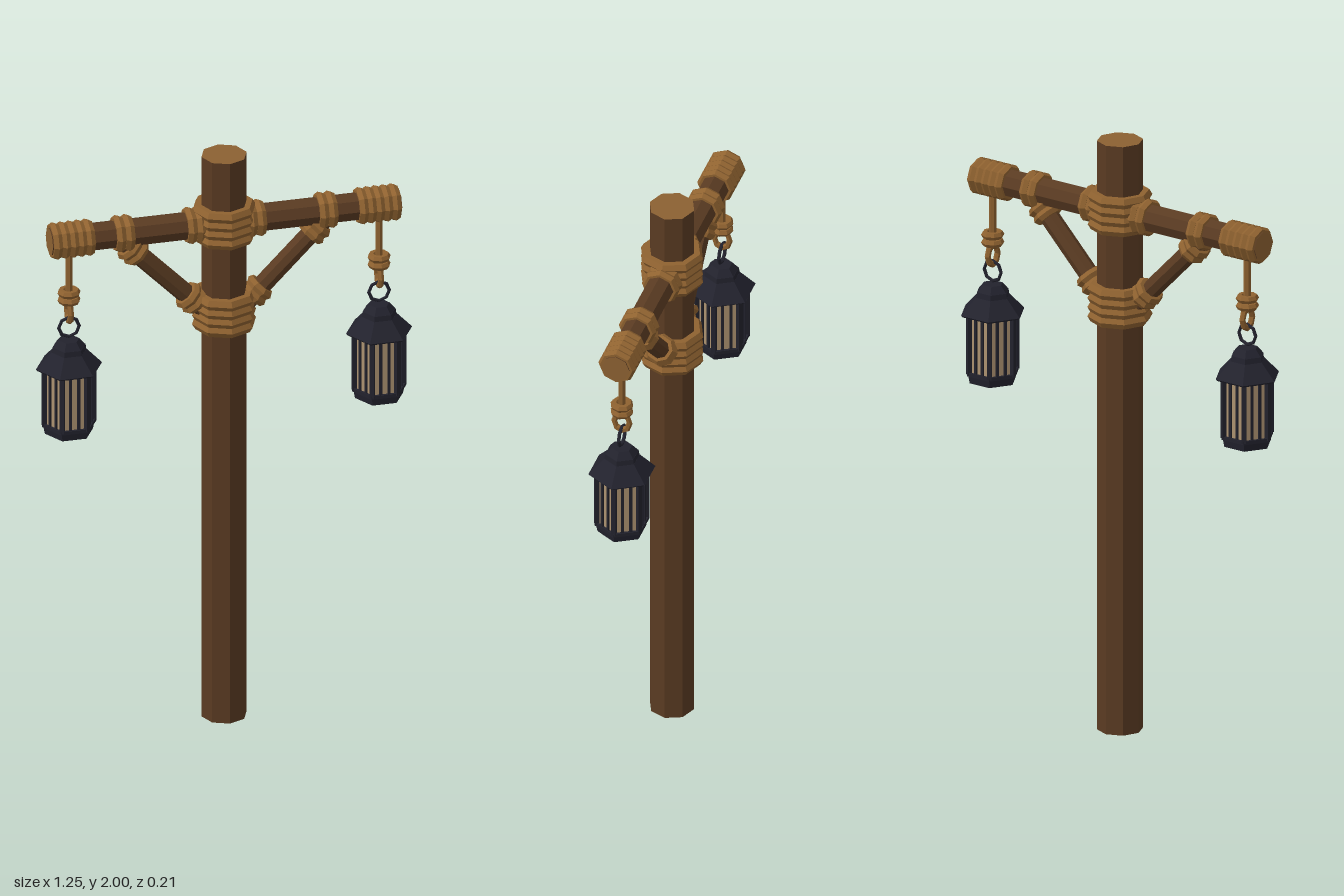
import * as THREE from 'three';

const mat = (name, color) => {
  const m = new THREE.MeshStandardMaterial({ color, flatShading: true });
  m.name = name;
  return m;
};

export function createModel() {
  const wood = mat('dark wood', 0x5a3b22);
  const cutWood = mat('cut wood', 0x8c6132);
  const rope = mat('rope', 0x8f6230);
  const metal = mat('black iron', 0x22222d);
  const glass = mat('lantern glass', 0xac9270);
  const root = new THREE.Group();
  root.name = 'lanternPost';
  const Y = new THREE.Vector3(0, 1, 0);

  const add = (parent, name, geo, material, x = 0, y = 0, z = 0) => {
    const m = new THREE.Mesh(geo, material);
    m.name = name;
    m.position.set(x, y, z);
    parent.add(m);
    return m;
  };

  // Octagonal timber between two points, with lighter cut ends
  const timber = (name, a, b, r) => {
    const dir = b.clone().sub(a);
    const m = add(root, name, new THREE.CylinderGeometry(r, r, dir.length(), 8), [wood, cutWood, cutWood]);
    m.position.copy(a).add(b).multiplyScalar(0.5);
    m.quaternion.setFromUnitVectors(Y, dir.normalize());
  };

  // Stack of rope rings centred on a point, wound around an axis
  const wrap = (parent, name, centre, axis, count, outer, tube, step) => {
    const g = new THREE.Group();
    g.name = name;
    g.position.copy(centre);
    g.quaternion.setFromUnitVectors(Y, axis.clone().normalize());
    for (let i = 0; i < count; i++) {
      const geo = new THREE.TorusGeometry(outer - tube, tube, 6, 8).rotateX(Math.PI / 2);
      add(g, 'ropeRing', geo, rope, 0, (i - (count - 1) / 2) * step, 0);
    }
    parent.add(g);
  };
  const v = (x, y, z = 0) => new THREE.Vector3(x, y, z);
  const X = v(1, 0);

  // Post and crossbeam
  timber('post', v(0, 0), v(0, 2), 0.075);
  timber('crossbeam', v(-0.58, 1.76), v(0.58, 1.76), 0.047);
  wrap(root, 'upperPostWrap', v(0, 1.765), Y, 4, 0.105, 0.02, 0.031);
  wrap(root, 'lowerPostWrap', v(0, 1.452), Y, 4, 0.106, 0.021, 0.031);

  // Hexagonal lantern with corners on the x axis
  const hex = (top, bottom, h) => new THREE.CylinderGeometry(top, bottom, h, 6).rotateY(Math.PI / 6);
  const lantern = (x) => {
    const g = new THREE.Group();
    g.name = 'lantern';
    g.position.x = x;
    root.add(g);
    add(g, 'hangingRope', new THREE.CylinderGeometry(0.012, 0.012, 0.21, 6), rope, 0, 1.635);
    wrap(g, 'knot', v(0, 1.558), Y, 2, 0.038, 0.013, 0.026);
    const loop = new THREE.TorusGeometry(0.026, 0.01, 6, 8).rotateY(Math.PI / 2);
    add(g, 'ropeLoop', loop, rope, 0, 1.502).scale.y = 1.25;
    add(g, 'ironRing', new THREE.TorusGeometry(0.034, 0.006, 6, 8), metal, 0, 1.447);
    add(g, 'roofCap', hex(0.034, 0.055, 0.024), metal, 0, 1.391);
    add(g, 'roofNeck', hex(0.055, 0.058, 0.02), metal, 0, 1.37);
    add(g, 'roof', hex(0.058, 0.11, 0.055), metal, 0, 1.335);
    add(g, 'eave', hex(0.11, 0.105, 0.006), metal, 0, 1.305);
    add(g, 'glassBody', hex(0.08, 0.08, 0.2), glass, 0, 1.205);
    add(g, 'bottomBand', hex(0.09, 0.09, 0.012), metal, 0, 1.106);
    add(g, 'base', hex(0.085, 0.08, 0.026), metal, 0, 1.088);
    // Corner bars and two thin bars on every pane
    for (let i = 0; i < 6; i++) {
      const a = (i * Math.PI) / 3, b = a + Math.PI / 3;
      const p = v(Math.cos(a), 0, Math.sin(a)).multiplyScalar(0.082);
      const q = v(Math.cos(b), 0, Math.sin(b)).multiplyScalar(0.082);
      for (let k = 0; k < 3; k++) {
        const c = p.clone().lerp(q, k / 3);
        const w = k ? 0.009 : 0.015;
        const bar = add(g, k ? 'paneBar' : 'cornerBar', new THREE.BoxGeometry(w, 0.2, w), metal, c.x, 1.205, c.z);
        bar.rotation.y = k ? -(a + b) / 2 : -a;
      }
    }
  };

  // Mirrored arms
  for (const s of [-1, 1]) {
    const low = v(s * 0.06, 1.45), high = v(s * 0.34, 1.735);
    const dir = high.clone().sub(low);
    timber('brace', low, high, 0.032);
    wrap(root, 'lowerBraceWrap', v(s * 0.108, 1.5), dir, 2, 0.052, 0.017, 0.028);
    wrap(root, 'upperBraceWrap', v(s * 0.302, 1.697), dir, 2, 0.052, 0.017, 0.028);
    wrap(root, 'innerBeamWrap', v(s * 0.1, 1.76), X, 2, 0.064, 0.017, 0.03);
    wrap(root, 'outerBeamWrap', v(s * 0.337, 1.76), X, 2, 0.064, 0.017, 0.03);
    wrap(root, 'endBeamWrap', v(s * 0.508, 1.76), X, 5, 0.064, 0.017, 0.027);
    lantern(s * 0.515);
  }
  return root;
}
